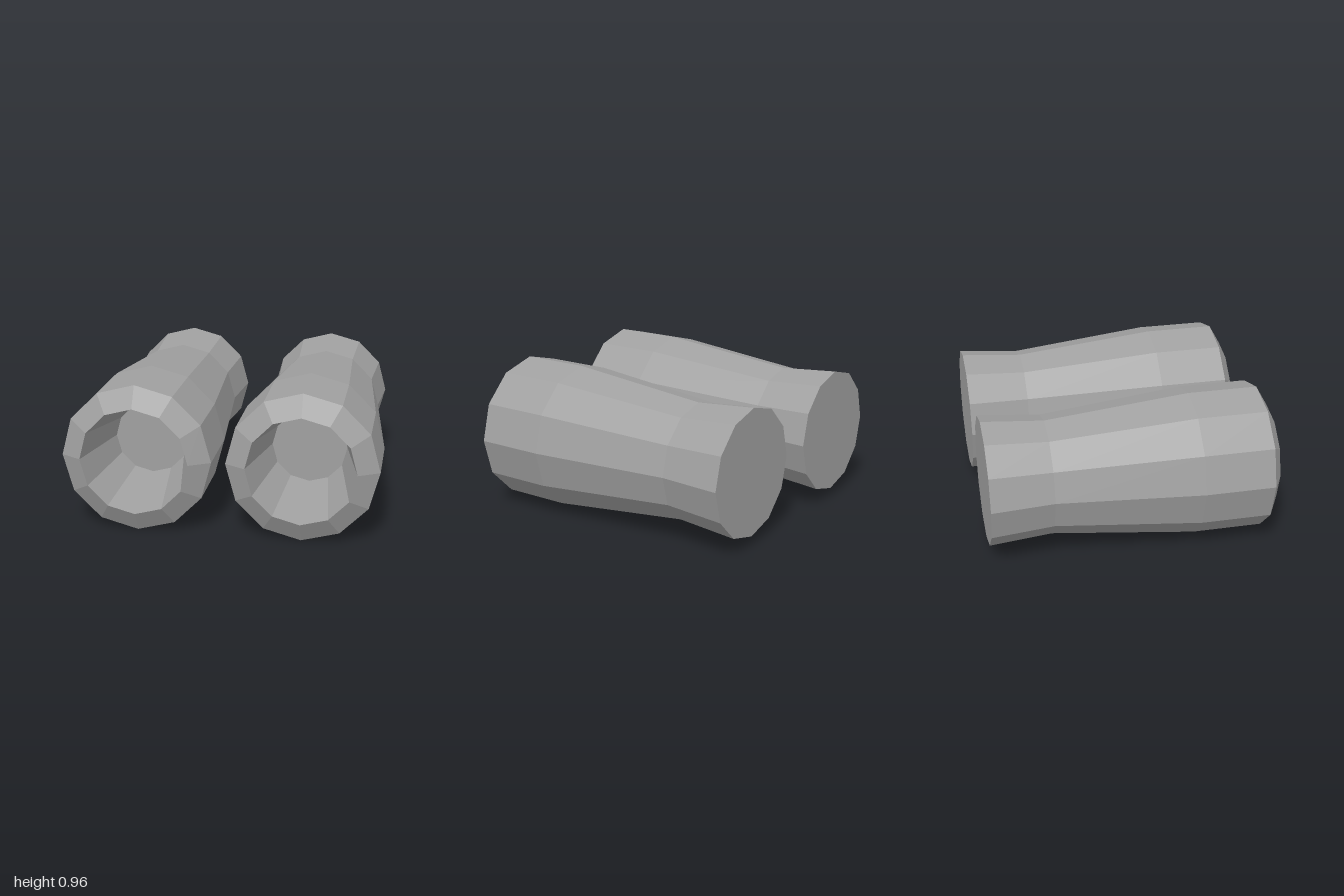
import * as THREE from 'three';

// Twin twelve-sided nozzles: closed waisted shells with a tapered recess in front.
export function createModel() {
  const group = new THREE.Group();
  group.name = 'twinNozzles';
  const grey = new THREE.MeshStandardMaterial({ color: 0xa0a0a0 });
  grey.name = 'grey';

  // Faceted surface of revolution around z, from [radius, z] pairs
  const turned = (profile) => {
    const points = profile.map(([r, z]) => new THREE.Vector2(r, z));
    const geometry = new THREE.LatheGeometry(points, 12).rotateX(Math.PI / 2).toNonIndexed();
    geometry.computeVertexNormals();
    return geometry;
  };

  const parts = {
    // Back cap, flared tail, waist, straight body and front chamfer
    Shell: turned([[0, -0.93], [0.415, -0.93], [0.382, -0.53], [0.478, 0.4], [0.478, 0.855], [0.345, 0.93]]),
    // Tapered opening and its floor
    Recess: turned([[0.345, 0.93], [0.243, 0.43], [0, 0.43]]),
  };

  for (const [side, x] of [['left', 0.522], ['right', -0.522]]) {
    const nozzle = new THREE.Group();
    nozzle.name = side + 'Nozzle';
    nozzle.position.set(x, 0.48, 0);
    for (const [name, geometry] of Object.entries(parts)) {
      const mesh = new THREE.Mesh(geometry, grey);
      mesh.name = side + name;
      nozzle.add(mesh);
    }
    group.add(nozzle);
  }
  return group;
}
